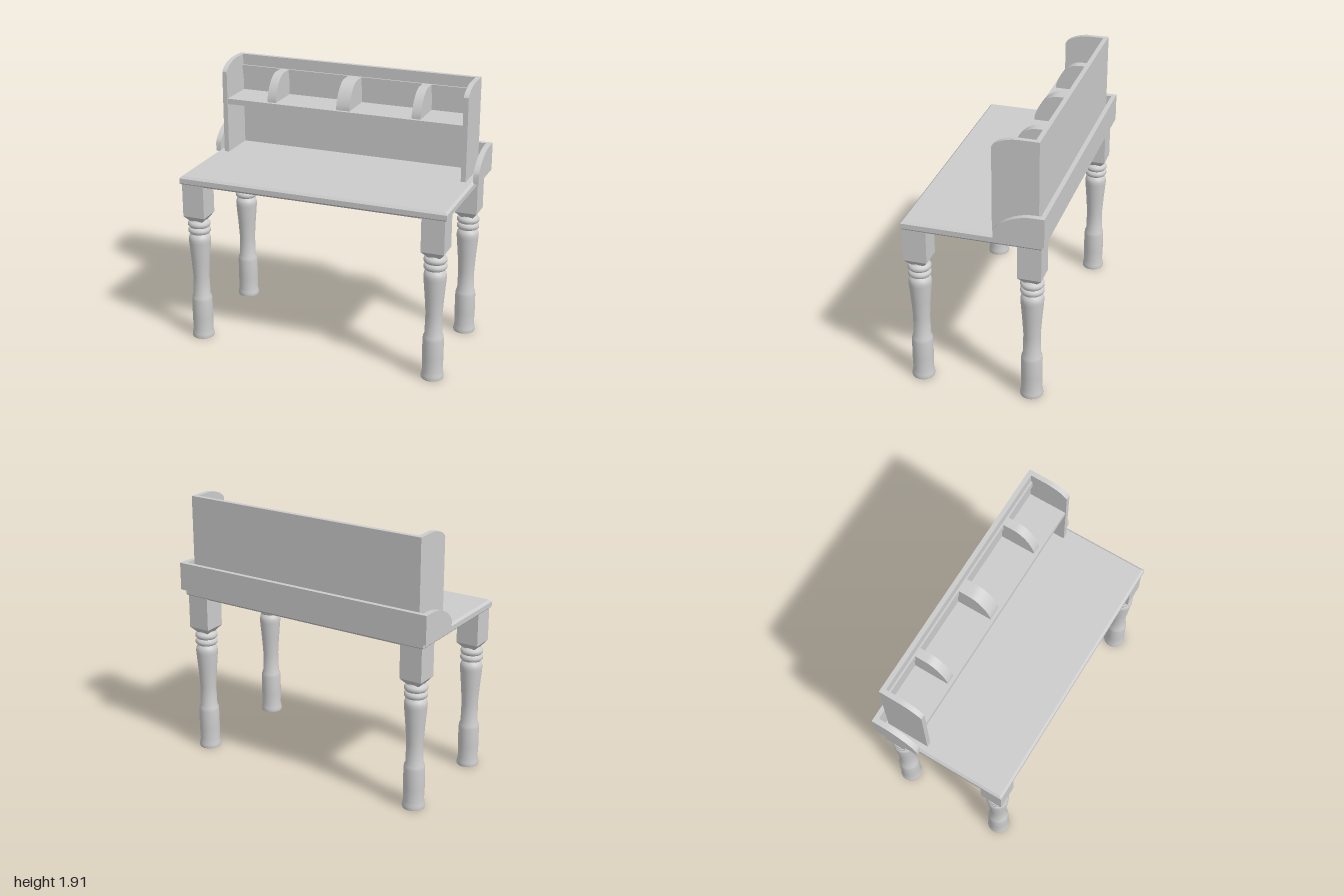
import * as THREE from 'three';
import { toCreasedNormals } from 'three/addons/utils/BufferGeometryUtils.js';

const material = new THREE.MeshStandardMaterial({ color: 0xcccccc });

export function createModel() {
  const desk = new THREE.Group();
  desk.name = 'writingDesk';

  const add = (parent, name, geometry) => {
    const mesh = new THREE.Mesh(geometry, material);
    mesh.name = name;
    parent.add(mesh);
    return mesh;
  };

  // Box given by its extents on each axis
  const box = (parent, name, [x0, x1], [y0, y1], [z0, z1]) => {
    const mesh = add(parent, name, new THREE.BoxGeometry(x1 - x0, y1 - y0, z1 - z0));
    mesh.position.set((x0 + x1) / 2, (y0 + y1) / 2, (z0 + z1) / 2);
    return mesh;
  };

  // Upright board with a rounded front top corner, centred on x
  const roundedBoard = (parent, name, x, width, p) => {
    const shape = new THREE.Shape();
    shape.moveTo(-p.front, p.bottom);
    shape.lineTo(-p.back, p.bottom);
    shape.lineTo(-p.back, p.top);
    shape.lineTo(-p.curveEnd, p.top);
    const dz = p.front - p.curveEnd, dy = p.top - p.shoulder;
    shape.bezierCurveTo(
      -(p.curveEnd + dz * 0.5), p.top,
      -(p.front - dz * 0.08), p.shoulder + dy * 0.45,
      -p.front, p.shoulder);
    shape.closePath();
    const geometry = new THREE.ExtrudeGeometry(shape, { depth: width, bevelEnabled: false, curveSegments: 12 });
    geometry.translate(0, 0, -width / 2).rotateY(Math.PI / 2);
    add(parent, name, toCreasedNormals(geometry, 0.5)).position.x = x;
  };

  // Tabletop with chamfered edges
  const outline = new THREE.Shape();
  outline.moveTo(-0.97, -0.49).lineTo(0.97, -0.49).lineTo(0.97, 0.47).lineTo(-0.97, 0.47).closePath();
  const top = new THREE.ExtrudeGeometry(outline, {
    depth: 0.035, bevelThickness: 0.016, bevelSize: 0.016, bevelOffset: -0.016, bevelSegments: 1,
  });
  top.rotateX(-Math.PI / 2);
  add(desk, 'tabletop', top).position.y = 1.196;

  // Turned legs with square blocks at the top
  const ring = (y, h) => [-90, -55, -20, 20, 55, 90].map((a) => {
    const t = THREE.MathUtils.degToRad(a);
    return [0.056 + 0.025 * Math.cos(t), y + h * Math.sin(t)];
  });
  const turned = [
    [0, 0], [0.078, 0], [0.08, 0.012], [0.077, 0.03], [0.071, 0.06], [0.074, 0.15], [0.073, 0.29],
    [0.07, 0.315], [0.061, 0.335], [0.058, 0.48], [0.066, 0.6], [0.078, 0.74], [0.079, 0.765],
    [0.073, 0.79], [0.056, 0.805], ...ring(0.83, 0.024), ...ring(0.878, 0.024), [0.05, 0.91],
  ].map(([r, y]) => new THREE.Vector2(r, y));
  const turnedGeometry = toCreasedNormals(new THREE.LatheGeometry(turned, 28), 0.8);
  const taper = new THREE.CylinderGeometry(0.081 * Math.SQRT2, 0.045 * Math.SQRT2, 0.045, 4);
  taper.rotateY(Math.PI / 4);
  const taperGeometry = toCreasedNormals(taper, 0.3);

  for (const x of [-0.875, 0.875]) {
    for (const z of [0.4, -0.38]) {
      const leg = new THREE.Group();
      leg.name = (z > 0 ? 'front' : 'back') + (x > 0 ? 'Left' : 'Right') + 'Leg';
      leg.position.set(x, 0, z);
      add(leg, 'turnedShaft', turnedGeometry);
      add(leg, 'blockTaper', taperGeometry).position.y = 0.9245;
      box(leg, 'legBlock', [-0.081, 0.081], [0.947, 1.19], [-0.081, 0.081]);
      desk.add(leg);
    }
  }

  // Low gallery around the back of the tabletop
  const gallery = new THREE.Group();
  gallery.name = 'gallery';
  desk.add(gallery);
  box(gallery, 'galleryBack', [-0.96, 0.96], [1.23, 1.43], [-0.49, -0.458]);
  for (const s of [-1, 1]) {
    roundedBoard(gallery, 'gallerySide', s * 0.98, 0.04,
      { front: -0.15, back: -0.49, bottom: 1.23, top: 1.43, shoulder: 1.295, curveEnd: -0.42 });
  }

  // Hutch with a shelf and dividers
  const hutch = new THREE.Group();
  hutch.name = 'hutch';
  desk.add(hutch);
  box(hutch, 'hutchBack', [-0.885, 0.885], [1.24, 1.915], [-0.432, -0.4]);
  box(hutch, 'backRail', [-0.885, 0.885], [1.77, 1.835], [-0.405, -0.387]);
  box(hutch, 'shelf', [-0.885, 0.885], [1.608, 1.648], [-0.405, -0.125]);
  for (const s of [-1, 1]) {
    roundedBoard(hutch, 'hutchSide', s * 0.8985, 0.035,
      { front: -0.12, back: -0.432, bottom: 1.24, top: 1.915, shoulder: 1.845, curveEnd: -0.3 });
  }
  for (const [x, width] of [[-0.545, 0.065], [0, 0.1], [0.54, 0.065]]) {
    roundedBoard(hutch, 'divider', x, width,
      { front: -0.15, back: -0.402, bottom: 1.64, top: 1.835, shoulder: 1.665, curveEnd: -0.31 });
  }

  return desk;
}
